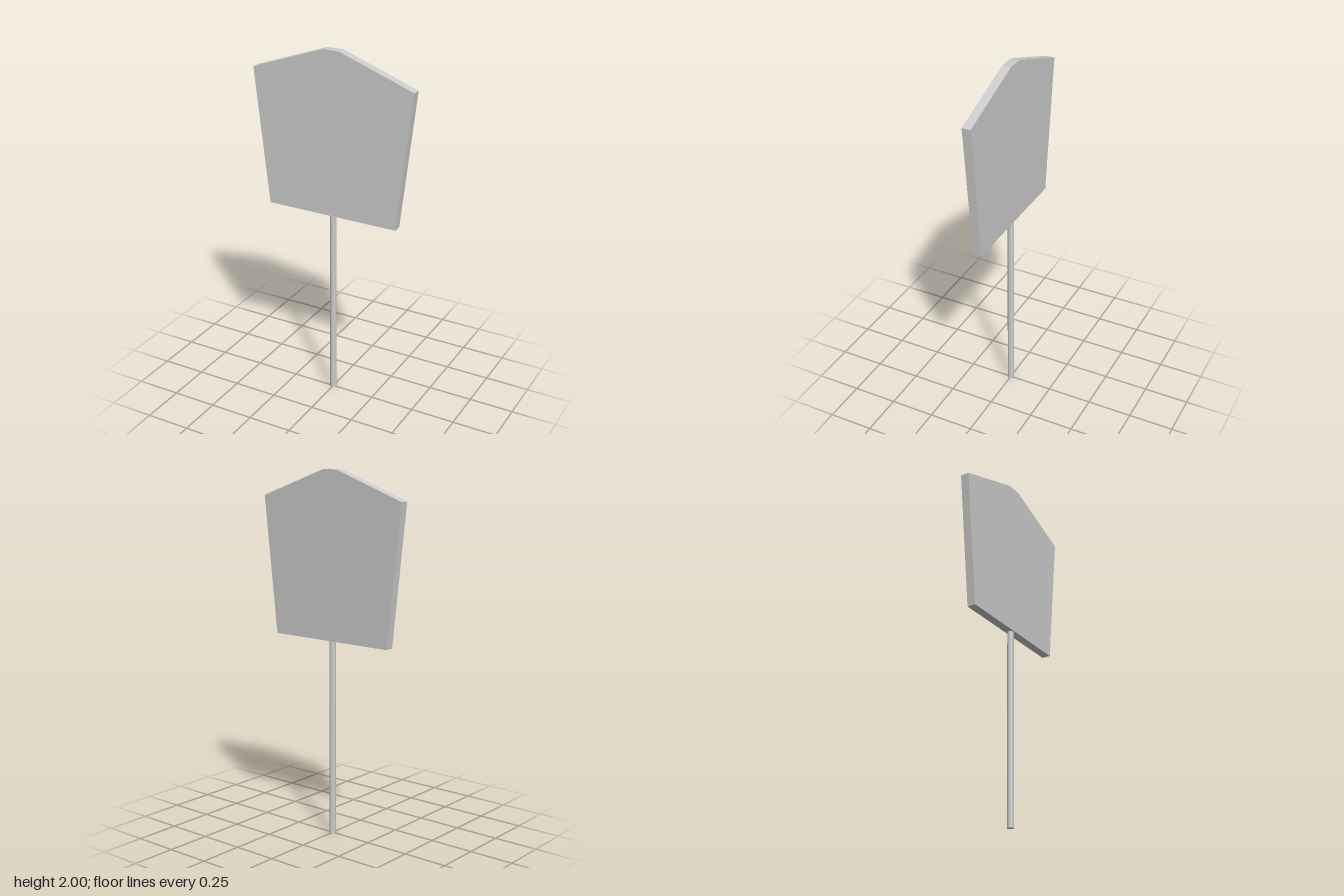
import * as THREE from 'three';

const PANEL_BOTTOM = 1.09;
const PANEL_DEPTH = 0.048;
const POST_RADIUS = 0.018;

export function createModel() {
  const model = new THREE.Group();
  model.name = 'signOnPost';
  const material = new THREE.MeshStandardMaterial({ color: 0xcccccc });

  // Panel: tapered board with a low, blunted gable top
  const half = [[0.38, PANEL_BOTTOM], [0.464, 1.85], [0.045, 2]];
  const mirrored = half.map(([x, y]) => [-x, y]).reverse();
  const outline = [...half, ...mirrored].map(([x, y]) => new THREE.Vector2(x, y));
  const panelGeometry = new THREE.ExtrudeGeometry(new THREE.Shape(outline), {
    depth: PANEL_DEPTH,
    bevelEnabled: false,
  });
  panelGeometry.translate(0, 0, -PANEL_DEPTH / 2);
  const panel = new THREE.Mesh(panelGeometry, material);
  panel.name = 'panel';
  model.add(panel);

  // Post: slim round pole up to the underside of the panel
  const post = new THREE.Mesh(
    new THREE.CylinderGeometry(POST_RADIUS, POST_RADIUS, PANEL_BOTTOM, 24),
    material,
  );
  post.name = 'post';
  post.position.y = PANEL_BOTTOM / 2;
  model.add(post);

  return model;
}
